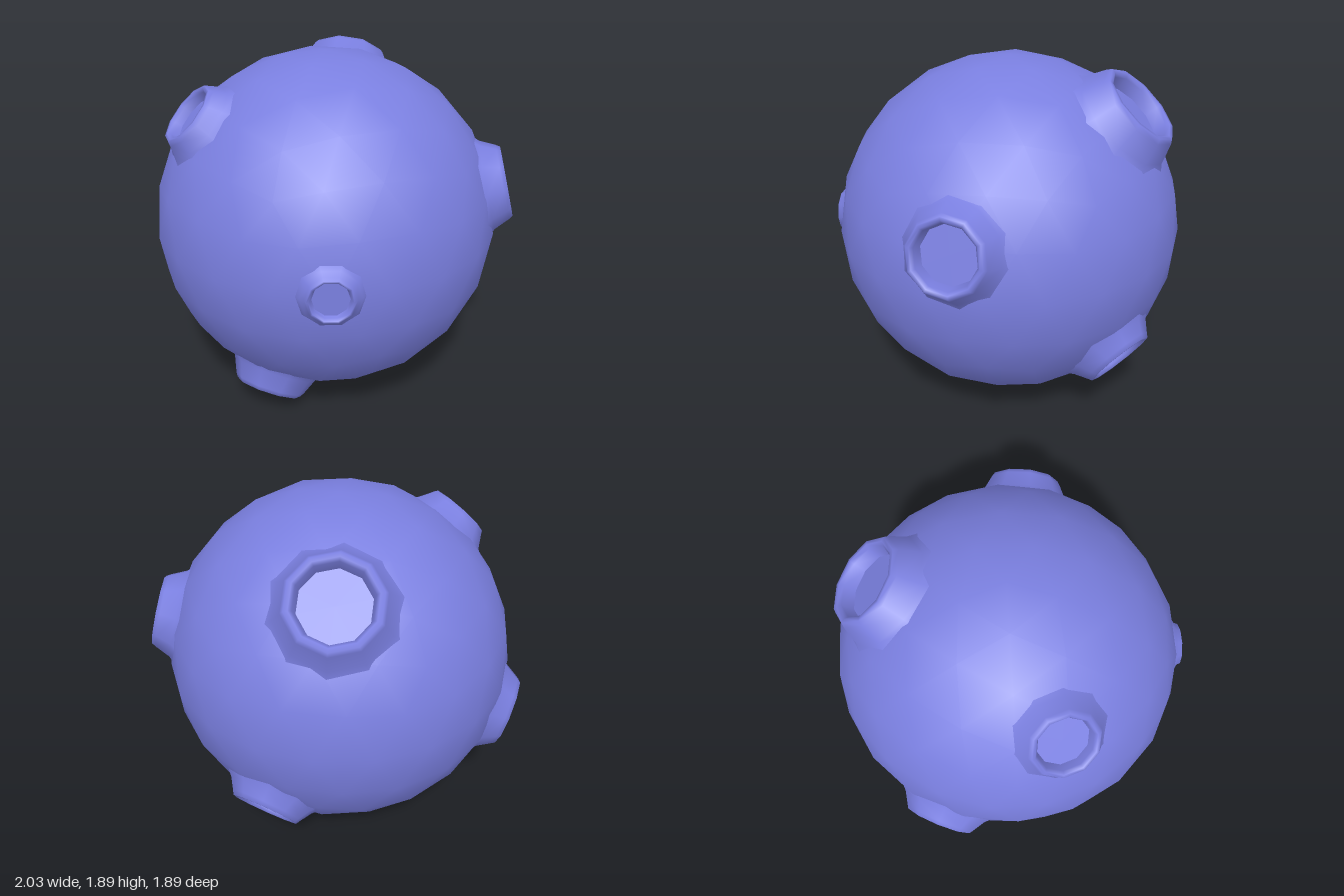
import * as THREE from 'three';

const R = 0.935;
const material = new THREE.MeshStandardMaterial({ color: 0x7a7fe0 });
const UP = new THREE.Vector3(0, 1, 0);

// Each crater: rim centre relative to the ball's centre, outer rim radius
const CRATERS = [
  { name: 'frontCrater', at: [0.3, -0.005, 0.92], r: 0.122 },
  { name: 'upperFrontCrater', at: [-0.6, 0.665, 0.435], r: 0.18 },
  { name: 'leftCrater', at: [0.97, 0.255, -0.145], r: 0.2 },
  { name: 'topBackCrater', at: [-0.07, 0.745, -0.695], r: 0.24 },
  { name: 'rightCrater', at: [-0.955, -0.245, -0.145], r: 0.2 },
  { name: 'bottomCrater', at: [-0.18, -0.865, 0.515], r: 0.195 },
  { name: 'lowerBackCrater', at: [0.29, -0.53, -0.785], r: 0.195 },
];

function createCrater({ name, at, r }) {
  const crater = new THREE.Group();
  crater.name = name;
  const dir = new THREE.Vector3(...at);
  const h = dir.length();
  const surface = (d) => Math.sqrt(R * R - d * d);
  const floorHeight = R + 0.002;

  // Flared wall, rounded lip and inner wall in one profile
  const profile = [
    [1.42 * r, surface(1.42 * r) - 0.022],
    [1.22 * r, surface(1.22 * r) + 0.006],
    [1.02 * r, h - 0.022],
    [0.95 * r, h],
    [0.86 * r, h],
    [0.79 * r, h - 0.018],
    [0.74 * r, floorHeight],
  ].map(([x, y]) => new THREE.Vector2(x, y));
  const wall = new THREE.Mesh(new THREE.LatheGeometry(profile, 10), material);
  wall.name = 'craterWall';

  // Flat floor, same sides as the wall
  const floor = new THREE.Mesh(
    new THREE.CircleGeometry(0.74 * r, 10).rotateX(-Math.PI / 2).rotateY(Math.PI / 2), material);
  floor.position.y = floorHeight;
  floor.name = 'craterFloor';

  crater.add(wall, floor);
  crater.quaternion.setFromUnitVectors(UP, dir.normalize());
  return crater;
}

export function createModel() {
  const model = new THREE.Group();
  model.name = 'crateredBall';
  model.position.set(-0.015, 0.975, -0.015);

  // Smooth-shaded icosphere with a vertex at the top
  const ballGeometry = new THREE.IcosahedronGeometry(R, 3)
    .rotateZ(Math.atan(2 / (1 + Math.sqrt(5))))
    .rotateY(Math.PI / 2);
  const ball = new THREE.Mesh(ballGeometry, material);
  ball.name = 'ball';
  model.add(ball);

  for (const crater of CRATERS) model.add(createCrater(crater));

  const root = new THREE.Group();
  root.name = 'model';
  root.add(model);
  return root;
}
